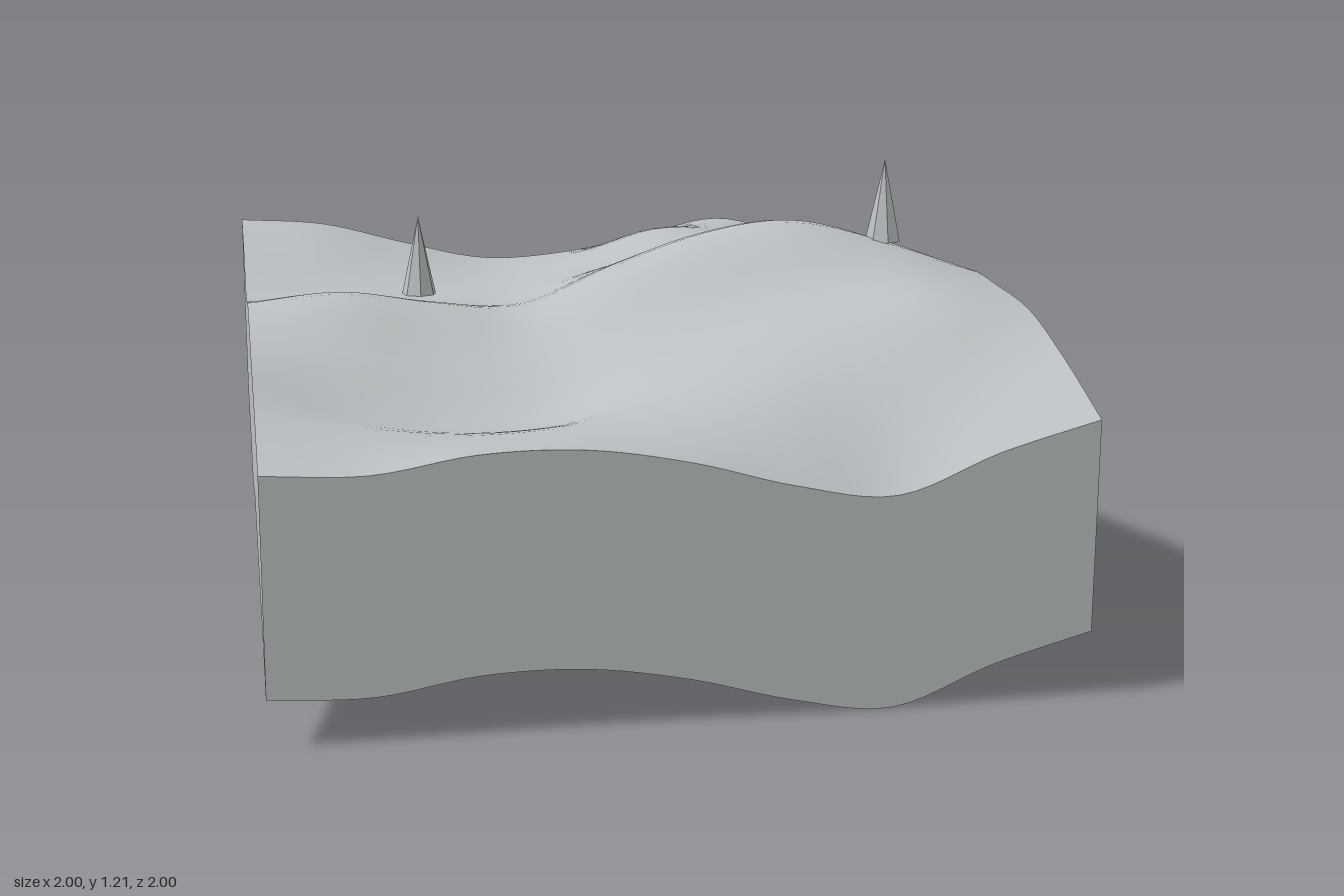
import * as THREE from 'three';

const SEGMENTS = 48;
const SKIRT = 0.533;

// Control heights: rows run back to front, columns from x = -1 to x = 1.
const HEIGHTS = [
  [0.94, 0.92, 0.855, 0.80, 0.81, 0.855, 0.905, 0.845, 0.79],
  [0.89, 0.865, 0.82, 0.795, 0.835, 0.915, 0.895, 0.79, 0.73],
  [0.80, 0.79, 0.783, 0.79, 0.84, 0.90, 0.92, 0.83, 0.74],
  [0.82, 0.82, 0.80, 0.80, 0.885, 0.955, 0.985, 0.92, 0.81],
  [0.858, 0.88, 0.84, 0.82, 0.925, 1.01, 1.04, 0.983, 0.895],
  [0.81, 0.775, 0.735, 0.735, 0.81, 0.87, 0.915, 0.93, 0.892],
  [0.76, 0.68, 0.635, 0.64, 0.735, 0.80, 0.85, 0.89, 0.87],
  [0.725, 0.685, 0.665, 0.675, 0.70, 0.72, 0.72, 0.745, 0.795],
  [0.655, 0.645, 0.682, 0.682, 0.64, 0.572, 0.537, 0.63, 0.70],
];

// Smooth cubic through evenly spaced values, t in 0..1
function cubic(values, t) {
  const last = values.length - 1;
  const s = THREE.MathUtils.clamp(t, 0, 1) * last;
  const i = Math.min(Math.floor(s), last - 1);
  const f = s - i;
  const b = values[i], c = values[i + 1];
  const a = i > 0 ? values[i - 1] : 2 * b - c;
  const d = i + 2 <= last ? values[i + 2] : 2 * c - b;
  return b + 0.5 * f * (c - a + f * (2 * a - 5 * b + 4 * c - d + f * (3 * (b - c) + d - a)));
}

function heightAt(x, z) {
  return cubic(HEIGHTS.map((row) => cubic(row, (x + 1) / 2)), (z + 1) / 2);
}

// Lifts every vertex by the ground height at its x, z
function drape(geometry) {
  const p = geometry.attributes.position;
  for (let i = 0; i < p.count; i++) {
    p.setY(i, p.getY(i) + heightAt(p.getX(i), p.getZ(i)));
  }
  geometry.computeVertexNormals();
  return geometry;
}

export function createModel() {
  const group = new THREE.Group();
  const ground = new THREE.MeshStandardMaterial({ color: 0xbcc0c2, side: THREE.DoubleSide });
  ground.name = 'ground grey';
  const spike = new THREE.MeshStandardMaterial({ color: 0xbcc0c2, flatShading: true });
  spike.name = 'spike grey';

  const add = (name, geometry, material) => {
    const mesh = new THREE.Mesh(geometry, material);
    mesh.name = name;
    group.add(mesh);
    return mesh;
  };

  // Rolling surface, open underneath
  add('terrain', drape(new THREE.PlaneGeometry(2, 2, SEGMENTS, SEGMENTS).rotateX(-Math.PI / 2)), ground);

  // Four side walls whose lower edge follows the surface
  ['frontWall', 'leftWall', 'backWall', 'rightWall'].forEach((name, k) => {
    const wall = new THREE.PlaneGeometry(2, SKIRT, SEGMENTS, 1)
      .translate(0, -SKIRT / 2, 1)
      .rotateY(k * Math.PI / 2);
    add(name, drape(wall), ground);
  });

  // Two slim cones standing on the surface
  [[-0.5, -0.5], [0.75, 0]].forEach(([x, z], k) => {
    const cone = add(`cone${k + 1}`, new THREE.ConeGeometry(0.05, 0.227, 7), spike);
    cone.position.set(x, heightAt(x, z) + 0.1135, z);
  });

  return group;
}
